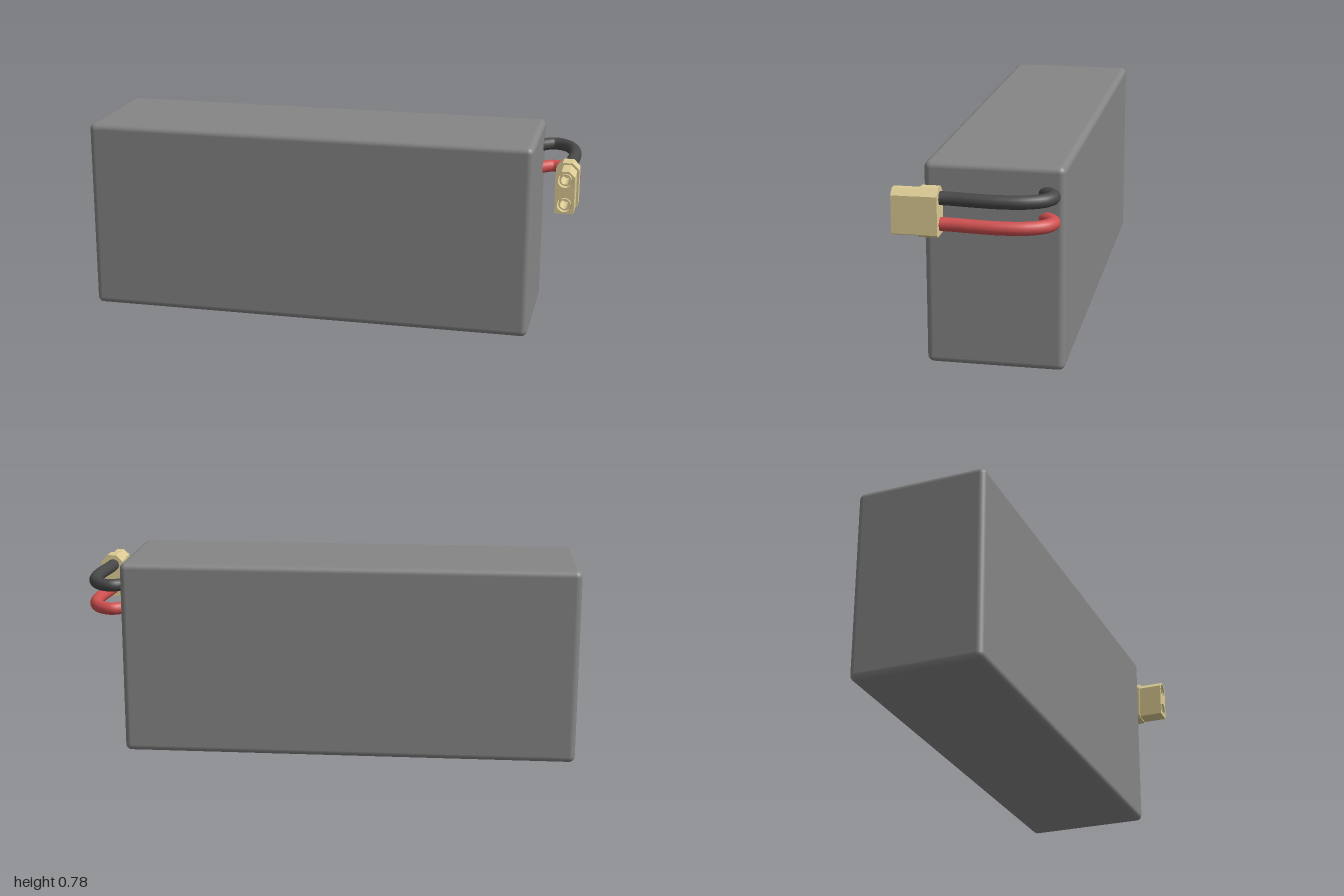
import * as THREE from 'three';
import { RoundedBoxGeometry } from 'three/addons/geometries/RoundedBoxGeometry.js';

const WIRE_Y = [0.685, 0.589]; // upper and lower wire
const PLUG_X = 0.955;

const material = (color) => new THREE.MeshStandardMaterial({ color });

function addMesh(parent, name, geometry, mat) {
  const mesh = new THREE.Mesh(geometry, mat);
  mesh.name = name;
  parent.add(mesh);
  return mesh;
}

// Upright outline with large top chamfers and small bottom ones
function plugShape(halfWidth, bottom, top, topCut, bottomCut) {
  const w = halfWidth;
  return new THREE.Shape([
    [-w + bottomCut, bottom], [w - bottomCut, bottom], [w, bottom + bottomCut], [w, top - topCut],
    [w - topCut, top], [-w + topCut, top], [-w, top - topCut], [-w, bottom + bottomCut],
  ].map(([x, y]) => new THREE.Vector2(x, y)));
}

function addCircleHole(shape, y, radius) {
  const hole = new THREE.Path();
  hole.absarc(0, y, radius, 0, Math.PI * 2, true);
  shape.holes.push(hole);
}

const extrude = (shape, depth) =>
  new THREE.ExtrudeGeometry(shape, { depth, bevelEnabled: false, curveSegments: 16 });

export function createModel() {
  const model = new THREE.Group();
  model.name = 'batteryPack';
  const bodyGrey = material(0x858585);
  const black = material(0x484848);
  const red = material(0xd05050);
  const cream = material(0xdccb94);

  // Rounded battery block
  addMesh(model, 'batteryBody', new RoundedBoxGeometry(1.825, 0.782, 0.522, 4, 0.025), bodyGrey)
    .position.set(-0.0875, 0.391, -0.039);

  // Two wires looping out of the end and forward to the plug
  WIRE_Y.forEach((y, i) => {
    const path = new THREE.CatmullRomCurve3([
      [0.79, -0.2], [0.825, -0.238], [0.865, -0.264], [0.915, -0.242],
      [0.95, -0.18], [0.963, -0.09], [0.958, 0.02], [0.951, 0.09], [0.95, 0.15],
    ].map(([x, z]) => new THREE.Vector3(x, y, z)));
    addMesh(model, i ? 'redWire' : 'blackWire', new THREE.TubeGeometry(path, 64, 0.025, 20), i ? red : black);
  });

  // Plug: solid collar, then a narrower housing with two sockets
  const plug = new THREE.Group();
  plug.name = 'plug';
  plug.position.x = PLUG_X;
  model.add(plug);

  addMesh(plug, 'plugCollar', extrude(plugShape(0.045, 0.549, 0.727, 0.026, 0.01), 0.068), cream)
    .position.z = 0.13;

  const housing = plugShape(0.037, 0.554, 0.72, 0.022, 0.003);
  WIRE_Y.forEach((y) => addCircleHole(housing, y, 0.028));
  addMesh(plug, 'plugHousing', extrude(housing, 0.102), cream).position.z = 0.198;

  // Hollow contact sleeve inside each socket
  WIRE_Y.forEach((y, i) => {
    const sleeve = new THREE.Shape();
    sleeve.absarc(0, 0, 0.023, 0, Math.PI * 2, false);
    addCircleHole(sleeve, 0, 0.017);
    addMesh(plug, i ? 'lowerContact' : 'upperContact', extrude(sleeve, 0.095), cream)
      .position.set(0, y, 0.198);
  });

  return model;
}
